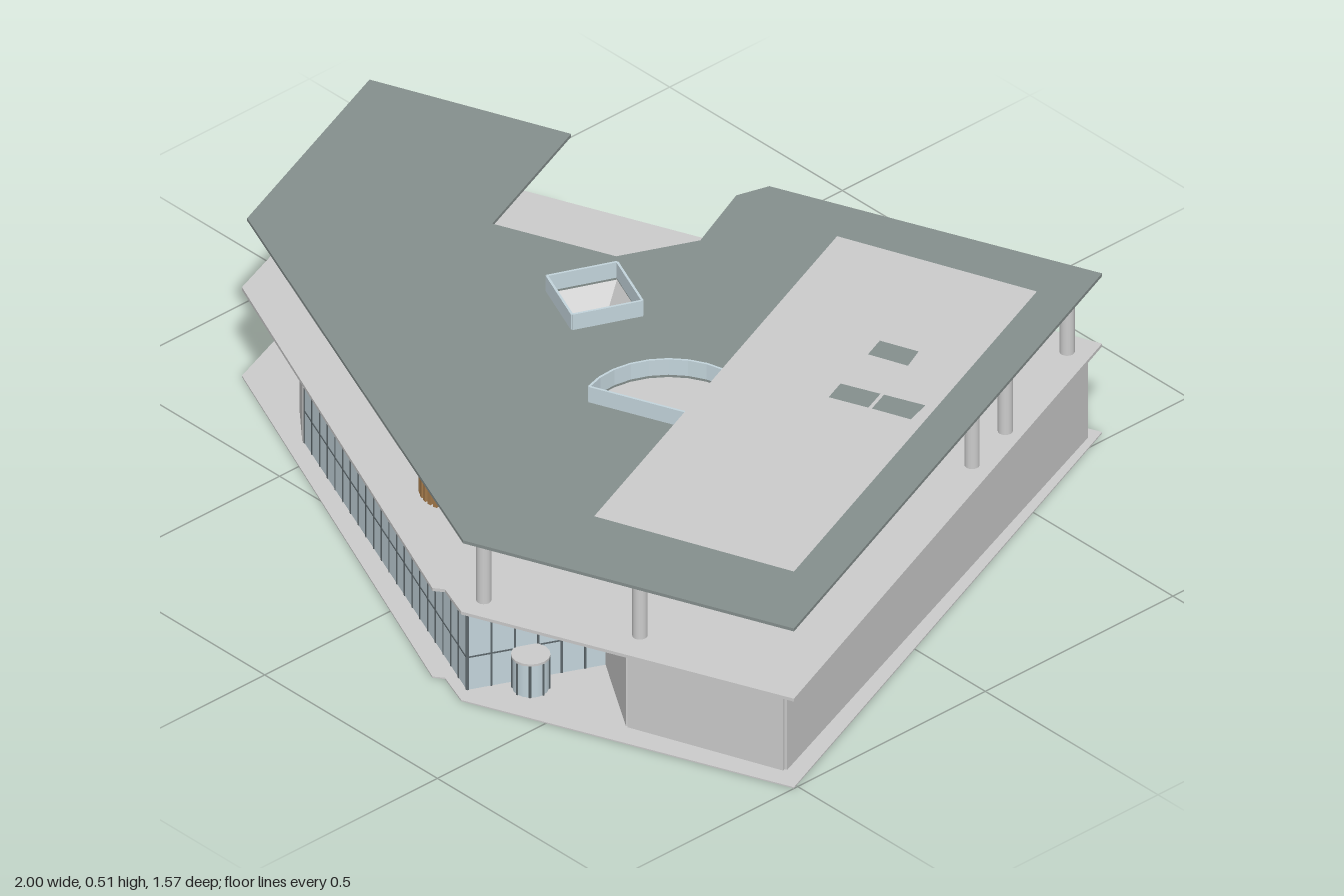
import * as THREE from 'three';

const mat = (color) => new THREE.MeshStandardMaterial({ color, side: THREE.DoubleSide });
const concrete = mat(0xcccccc);
const roofGrey = mat(0x858f8d);
const glass = mat(0xc3d4db);
const frame = mat(0x5c666a);
const wood = mat(0xa57b4c);
const planting = mat(0xb0aea6);

const v2 = (pts) => pts.map(([x, z]) => new THREE.Vector2(x, z));

// Horizontal plate from an x/z outline, its upper face at y = top
function slab(name, outline, holes, top, depth, material) {
  const shape = new THREE.Shape(v2(outline));
  shape.holes = holes.map((h) => new THREE.Path(v2(h)));
  const geo = depth
    ? new THREE.ExtrudeGeometry(shape, { depth, bevelEnabled: false })
    : new THREE.ShapeGeometry(shape);
  geo.rotateX(Math.PI / 2);
  const m = new THREE.Mesh(geo, material);
  m.position.y = top;
  m.name = name;
  return m;
}

// Thin upright panel between two plan points
function panel(name, [x0, z0], [x1, z1], y0, y1, thick, material) {
  const len = Math.hypot(x1 - x0, z1 - z0);
  const m = new THREE.Mesh(new THREE.BoxGeometry(len, y1 - y0, thick), material);
  m.position.set((x0 + x1) / 2, (y0 + y1) / 2, (z0 + z1) / 2);
  m.rotation.y = -Math.atan2(z1 - z0, x1 - x0);
  m.name = name;
  return m;
}

// Glazed wall with mullions and one transom
function glazing(p, q, y0, y1) {
  const g = new THREE.Group();
  g.name = 'glazedWall';
  g.add(panel('glassPane', p, q, y0, y1, 0.004, glass));
  g.add(panel('transom', p, q, 0.078, 0.081, 0.007, frame));
  const n = Math.max(1, Math.round(Math.hypot(q[0] - p[0], q[1] - p[1]) / 0.045));
  for (let i = 0; i <= n; i++) {
    const t = i / n;
    const m = new THREE.Mesh(new THREE.BoxGeometry(0.004, y1 - y0, 0.007), frame);
    m.position.set(p[0] + (q[0] - p[0]) * t, (y0 + y1) / 2, p[1] + (q[1] - p[1]) * t);
    m.rotation.y = -Math.atan2(q[1] - p[1], q[0] - p[0]);
    m.name = 'mullion';
    g.add(m);
  }
  return g;
}

// Upstand following a closed outline
function upstand(name, outline, y0, y1) {
  const g = new THREE.Group();
  g.name = name;
  outline.forEach((p, i) => {
    g.add(panel('upstandPane', p, outline[(i + 1) % outline.length], y0, y1, 0.005, glass));
  });
  return g;
}

// Half-circle outline, its straight side lying parallel to the entrance edge
function halfDisc(cx, cz, r, n = 14) {
  const pts = [];
  const start = Math.atan2(0.37, -0.93);
  for (let i = 0; i <= n; i++) {
    const a = start + (Math.PI * i) / n;
    pts.push([cx + r * Math.cos(a), cz + r * Math.sin(a)]);
  }
  return pts;
}

// Inverted four-sided light well
function lightWell(name, x, z, rTop, rBottom, y0, y1, turn) {
  const geo = new THREE.CylinderGeometry(rTop, rBottom, y1 - y0, 4, 1, true).toNonIndexed();
  geo.computeVertexNormals();
  const m = new THREE.Mesh(geo, concrete);
  m.position.set(x, (y0 + y1) / 2, z);
  m.rotation.y = turn;
  m.name = name;
  return m;
}

// Round revolving-door drum at an entrance
function entranceDrum(x, z) {
  const g = new THREE.Group();
  g.name = 'entranceDrum';
  const drum = new THREE.Mesh(new THREE.CylinderGeometry(0.036, 0.036, 0.08, 16), glass);
  const cap = new THREE.Mesh(new THREE.CylinderGeometry(0.039, 0.039, 0.005, 16), concrete);
  drum.position.y = 0.04;
  cap.position.y = 0.0805;
  g.add(drum, cap);
  for (let i = 0; i < 8; i++) {
    const a = (i * Math.PI) / 4;
    const post = new THREE.Mesh(new THREE.BoxGeometry(0.004, 0.08, 0.004), frame);
    post.position.set(0.036 * Math.cos(a), 0.04, 0.036 * Math.sin(a));
    g.add(post);
  }
  g.position.set(x, 0, z);
  return g;
}

export function createModel() {
  const model = new THREE.Group();
  model.name = 'pavilion';

  // Ground plate and upper floor
  const site = [[-1, -0.2], [0.48, -0.79], [1, 0.51], [0.33, 0.78], [0.25, 0.75], [0.23, 0.765], [-0.81, 0.315]];
  model.add(slab('groundPlate', site, [], 0.003, 0.003, concrete));
  model.add(slab('upperFloor', site, [], 0.211, 0.007, concrete));

  // Main roof, notched at the back, with two openings
  const square = [[-0.155, -0.082], [-0.02, -0.025], [-0.077, 0.11], [-0.212, 0.053]];
  const half = halfDisc(0.295, 0.195, 0.173);
  const roof = [
    [-1, -0.2], [-0.59, -0.36], [-0.46, -0.03], [-0.21, -0.13], [-0.14, -0.29], [-0.21, -0.45],
    [-0.19, -0.52], [0.48, -0.79], [1, 0.51], [0.33, 0.775], [-0.8, 0.31],
  ];
  model.add(slab('roof', roof, [square, half], 0.376, 0.007, roofGrey));
  model.add(upstand('squareSkylightRim', square, 0.376, 0.412));
  model.add(upstand('halfRoundSkylightRim', half, 0.376, 0.412));

  // Floating top canopy with cut-outs
  model.add(slab('canopy', [[0.18, -0.36], [0.59, -0.515], [1, 0.51], [0.59, 0.665]], [
    [[0.51, -0.17], [0.59, -0.2], [0.613, -0.15], [0.53, -0.12]],
    [[0.57, -0.01], [0.65, -0.043], [0.67, 0.008], [0.59, 0.04]],
    [[0.657, -0.046], [0.74, -0.08], [0.757, -0.025], [0.677, 0.005]],
  ], 0.51, 0, concrete));

  // Light wells below the roof
  model.add(lightWell('squareLightWell', -0.116, 0.014, 0.103, 0.025, 0.28, 0.37, Math.PI / 4 - 0.4));
  model.add(lightWell('rearLightWell', 0.22, -0.15, 0.14, 0.06, 0.3, 0.37, Math.PI / 4 + 0.38));

  // Half-round planted terrace with its low glass rail
  const terrace = halfDisc(0.295, 0.195, 0.17);
  model.add(slab('plantedRing', terrace, [halfDisc(0.293, 0.19, 0.07)], 0.216, 0.005, planting));
  model.add(upstand('terraceRail', halfDisc(0.29, 0.2, 0.195), 0.211, 0.245));
  model.add(upstand('rearRail', [[0.13, -0.2], [0.36, -0.31], [0.43, -0.14], [0.2, -0.05]], 0.211, 0.245));

  // Ground-floor walls, followed round the plan
  const ring = [
    [-0.88, -0.2, 0], [-0.455, -0.385, 1], [-0.27, -0.3, 1], [-0.27, -0.46, 1], [0.47, -0.755, 0],
    [0.94, 0.48, 0], [0.62, 0.6, 0], [0.43, 0.48, 1], [0.31, 0.745, 1], [-0.55, 0.385, 0],
    [-0.64, 0.31, 0], [-0.73, 0.18, 0],
  ];
  ring.forEach((p, i) => {
    const q = ring[(i + 1) % ring.length];
    model.add(p[2]
      ? glazing(p, q, 0.003, 0.204)
      : panel('solidWall', p, q, 0.003, 0.204, 0.012, concrete));
  });
  model.add(entranceDrum(0.39, 0.65), entranceDrum(-0.22, -0.43));

  // Upper columns
  const columns = [
    [-0.52, 0.29], [-0.2, -0.1], [0.18, -0.54], [-0.03, -0.46], [0.455, -0.72], [0.505, -0.39],
    [0.58, -0.44], [0.625, -0.31], [0.63, 0.58], [0.33, 0.72], [0.48, 0.23],
  ];
  const columnGeo = new THREE.CylinderGeometry(0.015, 0.015, 0.16, 16);
  for (const [x, z] of columns) {
    const c = new THREE.Mesh(columnGeo, concrete);
    c.position.set(x, 0.29, z);
    c.name = 'column';
    model.add(c);
  }

  // Slatted timber drum
  const drum = new THREE.Group();
  drum.name = 'timberDrum';
  const core = new THREE.Mesh(new THREE.CylinderGeometry(0.09, 0.09, 0.122, 32), wood);
  drum.add(core);
  for (let i = 0; i < 36; i++) {
    const a = (i / 36) * Math.PI * 2;
    const slat = new THREE.Mesh(new THREE.BoxGeometry(0.008, 0.124, 0.009), wood);
    slat.position.set(0.09 * Math.cos(a), 0, 0.09 * Math.sin(a));
    slat.rotation.y = -a;
    slat.name = 'slat';
    drum.add(slat);
  }
  drum.position.set(0.007, 0.273, 0.458);
  drum.scale.set(0.95, 1, 1.18);
  model.add(drum);

  return model;
}
